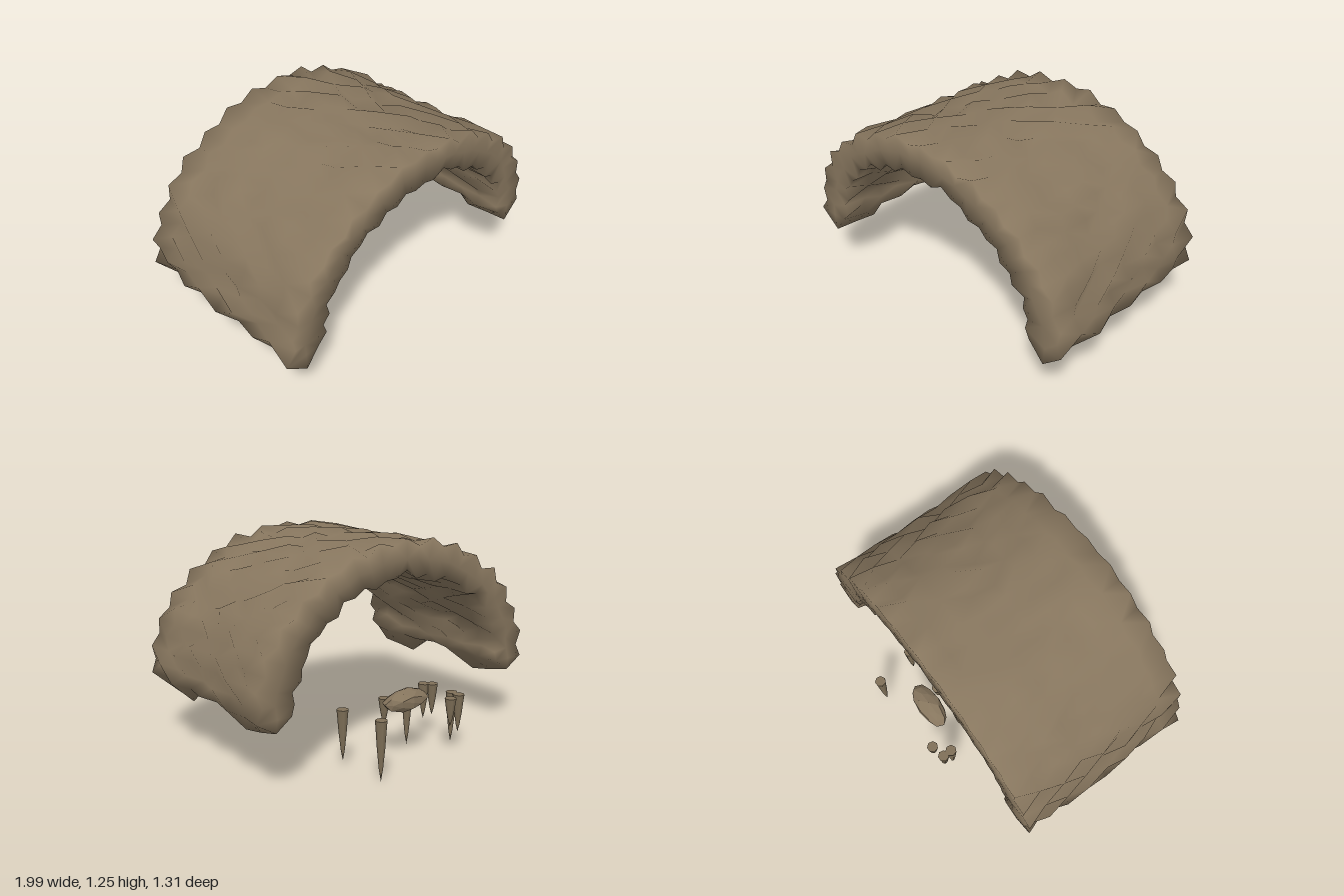
import * as THREE from 'three';

const rockMat = new THREE.MeshStandardMaterial({ color: 0x87765e });
rockMat.name = 'brown rock';
const spikeMat = new THREE.MeshStandardMaterial({ color: 0x7f7058 });
spikeMat.name = 'dark brown rock';

const lerp = THREE.MathUtils.lerp;

// Repeatable noise in -1..1
function noise(a, b) {
  const n = Math.sin(a * 127.1 + b * 311.7) * 43758.5453;
  return 2 * (n - Math.floor(n)) - 1;
}

// Height of the ragged foot edge, from the back to the front of the arch
const footY = [0.36, 0.325, 0.3, 0.4, 0.43, 0.415, 0.3, 0.315, 0.325];

// Vaulted shell: cross-section loops swept around the arch, closed by a ridged foot
function archGeometry() {
  const NA = 32, NZ = 8, zBack = -0.47, zFront = 0.65;
  const loop = 2 * (NZ + 1) + 2;
  const pos = [], idx = [];
  const quad = (a, b, c, d) => idx.push(a, b, c, a, c, d);
  const zAt = (j) => lerp(zBack, zFront, j / NZ);

  for (let i = 0; i <= NA; i++) {
    const t = (Math.PI * i) / NA;
    const c = Math.cos(t), s = Math.sin(t);
    const put = (k, bump, z) => {
      const a = lerp(0.757, 0.965, k) + bump, b = lerp(0.615, 0.797, k) + bump;
      pos.push(a * c, 0.43 + b * s, z);
    };
    const wave = (j) => ((i + j) % 2 ? -1 : 1);
    const outer = (j) => 0.02 * wave(j) + 0.013 * noise(i, j);
    const inner = (j) => 0.014 * wave(j) + 0.014 * Math.sin(i * 1.3) * Math.sin(j * 1.25 + 0.6)
      + 0.012 * noise(i + 50, j);
    // inner and outer rims wander slightly in depth, as broken stone does
    const rim = 0.004 * noise(i, 90);
    for (let j = 0; j <= NZ; j++) put(1, outer(j), zAt(j));
    put(0.5, 0.012 * noise(i, 20), zFront + rim);
    for (let j = NZ; j >= 0; j--) put(0, inner(j), zAt(j));
    put(0.5, 0.012 * noise(i, 30), zBack - rim);
  }
  for (let i = 0; i < NA; i++) {
    for (let k = 0; k < loop; k++) {
      const n = (k + 1) % loop, p = i * loop, q = p + loop;
      // vary the diagonals so the ridges zigzag unevenly
      if (noise(i + 7, k) > 0) quad(p + k, q + k, q + n, p + n);
      else quad(p + n, p + k, q + k, q + n);
    }
  }
  // Feet: a hanging ridge under each end
  for (const end of [0, NA]) {
    const base = end * loop, ridge = pos.length / 3;
    const face = (a, b, c) => (end ? idx.push(a, c, b) : idx.push(a, b, c));
    for (let j = 0; j <= NZ; j++) pos.push(end ? -0.86 : 0.86, footY[j], zAt(j));
    const inner = (j) => base + 2 * NZ + 2 - j;
    for (let j = 0; j < NZ; j++) {
      const o = base + j, r = ridge + j;
      face(o, o + 1, r + 1);
      face(o, r + 1, r);
      face(r, r + 1, inner(j + 1));
      face(r, inner(j + 1), inner(j));
    }
    face(base + NZ, base + NZ + 1, ridge + NZ);
    face(base + NZ + 1, inner(NZ), ridge + NZ);
    face(base + loop - 1, base, ridge);
    face(inner(0), base + loop - 1, ridge);
  }
  const g = new THREE.BufferGeometry();
  g.setAttribute('position', new THREE.Float32BufferAttribute(pos, 3));
  g.setIndex(idx);
  g.computeVertexNormals();
  return g;
}

// Hanging spike with a slight waist, capped on top
function spikeGeometry(length) {
  const profile = [[0, -1], [0.012, -0.78], [0.023, -0.45], [0.03, -0.15], [0.034, 0]];
  const pts = profile.map(([r, y]) => new THREE.Vector2(r, y * length));
  pts.push(new THREE.Vector2(0.034, 0), new THREE.Vector2(0, 0));
  return new THREE.LatheGeometry(pts, 7);
}

// Flat faceted boulder
function boulderGeometry() {
  const g = new THREE.IcosahedronGeometry(1, 1);
  const p = g.attributes.position, v = new THREE.Vector3();
  for (let i = 0; i < p.count; i++) {
    v.fromBufferAttribute(p, i);
    v.multiplyScalar(0.99 + 0.06 * Math.cos(v.x * 5 + v.y * 7 + v.z * 4));
    p.setXYZ(i, v.x * 0.153, v.y * 0.062, v.z * 0.076);
  }
  g.computeVertexNormals();
  return g;
}

export function createModel() {
  const model = new THREE.Group();
  const add = (name, geometry, material, x = 0, y = 0, z = 0) => {
    const mesh = new THREE.Mesh(geometry, material);
    mesh.name = name;
    mesh.position.set(x, y, z);
    model.add(mesh);
  };

  add('caveArch', archGeometry(), rockMat);
  add('boulder', boulderGeometry(), rockMat, 0, 0.35, -0.475);

  // Spikes: x, z, height of the tip
  const spikes = [
    [-0.305, -0.59, 0.12], [-0.305, -0.535, 0.045], [-0.22, -0.61, 0.18], [0.31, -0.626, 0],
    [-0.125, -0.355, 0.015], [0.363, -0.37, 0.05], [0.065, -0.37, 0.185],
    [-0.328, -0.355, 0.15], [-0.29, -0.32, 0.13],
  ];
  for (const [x, z, tip] of spikes) add('stalactite', spikeGeometry(0.347 - tip), spikeMat, x, 0.347, z);
  return model;
}
